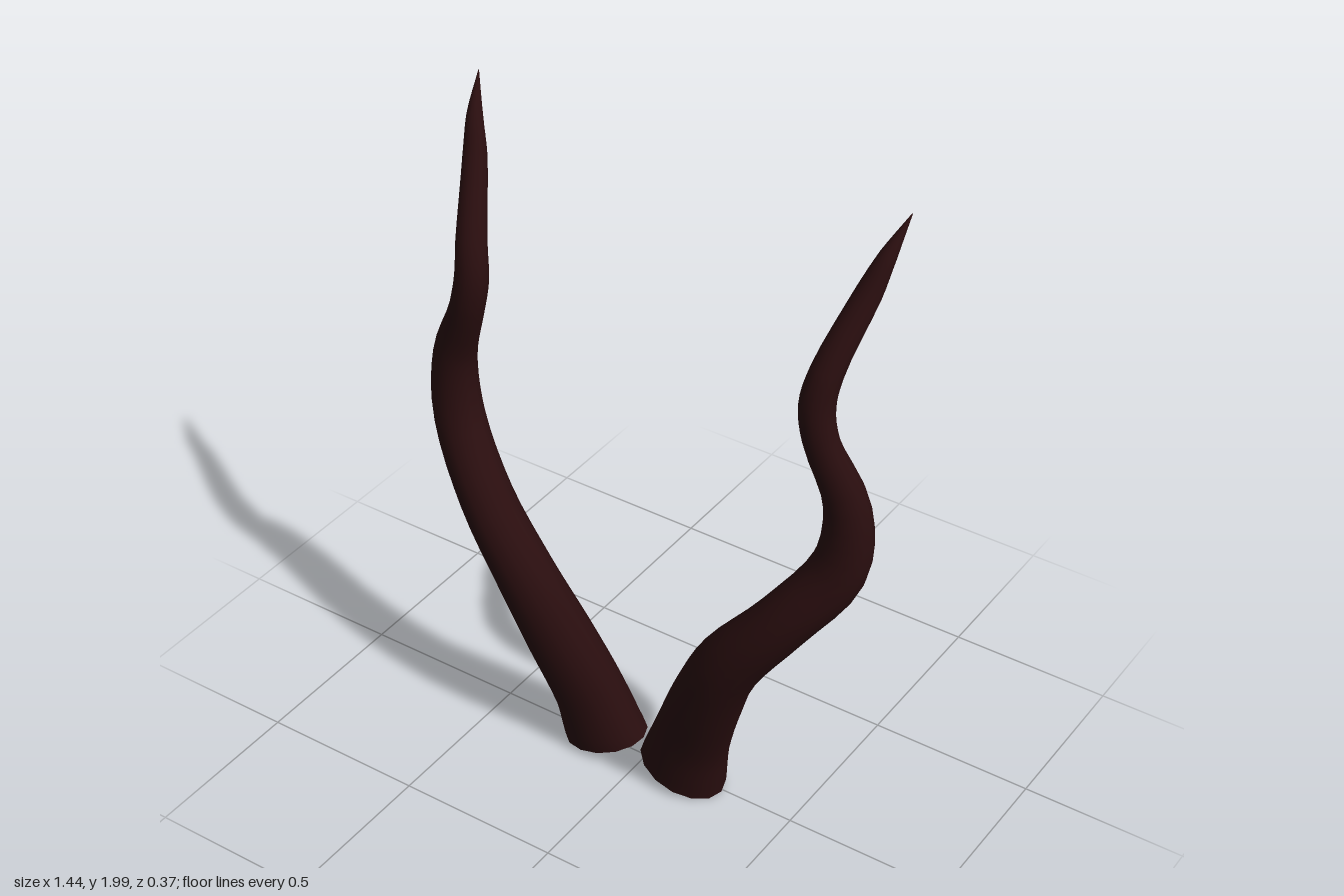
import * as THREE from 'three';

// Horn stations from root to tip: centre x, y, z, then sideways and depth radius
const STATIONS = [
  [0.137, 0.045, 0.01, 0.139, 0.1],
  [0.18, 0.2, 0.032, 0.118, 0.094],
  [0.255, 0.4, 0.072, 0.107, 0.092],
  [0.347, 0.6, 0.102, 0.094, 0.083],
  [0.4975, 0.8, 0.078, 0.082, 0.077],
  [0.628, 1.0, 0.02, 0.081, 0.068],
  [0.64, 1.2, 0.012, 0.066, 0.058],
  [0.568, 1.4, 0.04, 0.051, 0.045],
  [0.55, 1.5, 0.037, 0.05, 0.045],
  [0.5625, 1.6, 0.015, 0.046, 0.042],
  [0.615, 1.8, -0.083, 0.037, 0.031],
  [0.642, 1.9, -0.124, 0.024, 0.022],
  [0.67, 2.0, -0.185, 0.001, 0.001],
];
const SIDES = 14;
const RINGS = 48;

// Sweeps an oval along the horn's curve; side is +1 or -1
function hornGeometry(side) {
  const path = new THREE.CatmullRomCurve3(STATIONS.map(s => new THREE.Vector3(s[0], s[1], s[2])));
  const radii = new THREE.CatmullRomCurve3(STATIONS.map(s => new THREE.Vector3(s[3], s[4], 0)));
  const positions = [];
  const indices = [];
  const triangle = (a, b, c) => indices.push(...(side > 0 ? [a, b, c] : [a, c, b]));

  const addRing = (t) => {
    const centre = path.getPoint(t);
    const radius = radii.getPoint(t);
    const tangent = path.getTangent(t);
    const across = new THREE.Vector3(tangent.y, -tangent.x, 0).normalize();
    const depth = new THREE.Vector3().crossVectors(across, tangent);
    for (let j = 0; j < SIDES; j++) {
      const angle = (j / SIDES) * Math.PI * 2;
      const p = centre.clone()
        .addScaledVector(across, radius.x * Math.cos(angle))
        .addScaledVector(depth, radius.y * Math.sin(angle));
      positions.push(p.x * side, p.y, p.z);
    }
  };

  // Outer wall
  for (let i = 0; i <= RINGS; i++) addRing(i / RINGS);
  for (let i = 0; i < RINGS; i++) {
    for (let j = 0; j < SIDES; j++) {
      const a = i * SIDES + j;
      const b = i * SIDES + (j + 1) % SIDES;
      triangle(a, a + SIDES, b);
      triangle(b, a + SIDES, b + SIDES);
    }
  }

  // Root cap, with its own vertices for a crisp rim
  const start = positions.length / 3;
  addRing(0);
  positions.push(STATIONS[0][0] * side, STATIONS[0][1], STATIONS[0][2]);
  for (let j = 0; j < SIDES; j++) triangle(start + SIDES, start + j, start + (j + 1) % SIDES);

  const geometry = new THREE.BufferGeometry();
  geometry.setAttribute('position', new THREE.Float32BufferAttribute(positions, 3));
  geometry.setIndex(indices);
  geometry.computeVertexNormals();
  return geometry;
}

export function createModel() {
  const group = new THREE.Group();
  group.name = 'horns';
  const hornMaterial = new THREE.MeshStandardMaterial({ color: 0x2a0e0f });
  hornMaterial.name = 'dark maroon horn';
  for (const side of [1, -1]) {
    const horn = new THREE.Mesh(hornGeometry(side), hornMaterial);
    horn.name = side > 0 ? 'leftHorn' : 'rightHorn';
    group.add(horn);
  }
  return group;
}
